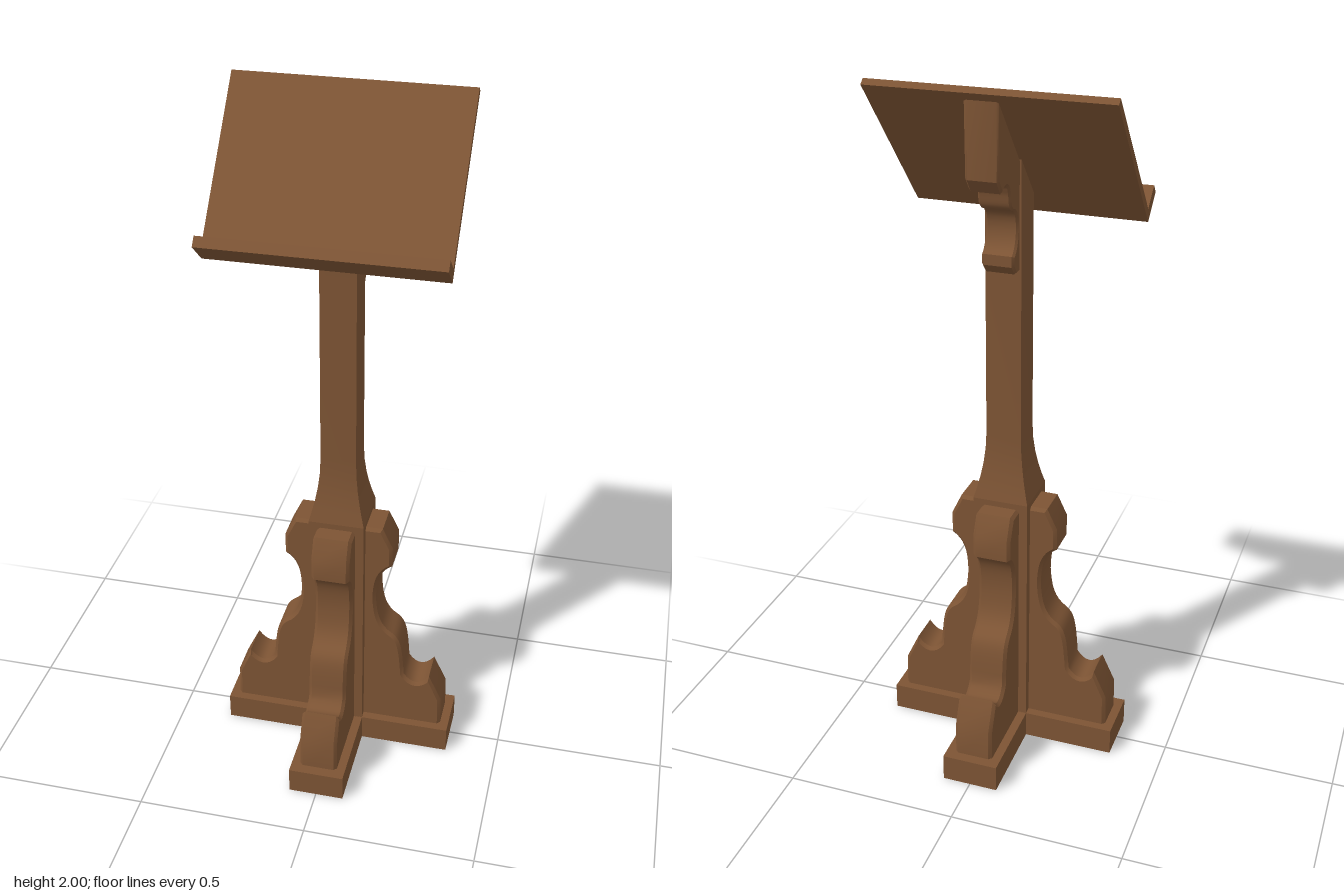
import * as THREE from 'three';
import { toCreasedNormals } from 'three/addons/utils/BufferGeometryUtils.js';

const wood = new THREE.MeshStandardMaterial({ color: 0x7d5434 });
wood.name = 'brown wood';

function part(name, geometry, parent) {
  const mesh = new THREE.Mesh(geometry, wood);
  mesh.name = name;
  parent.add(mesh);
  return mesh;
}

// Extrudes a profile to a total width centred on z = 0, with optional chamfered edges
function board(shape, width, bevel = 0) {
  const g = new THREE.ExtrudeGeometry(shape, {
    depth: width - 2 * bevel, curveSegments: 8,
    bevelEnabled: bevel > 0, bevelSegments: 1,
    bevelSize: bevel, bevelThickness: bevel, bevelOffset: -bevel,
  });
  g.translate(0, 0, bevel - width / 2);
  return toCreasedNormals(g, 0.6);
}

// Carved leg bracket: toe, ogee, scooped waist and angular shoulder
function legShape() {
  const s = new THREE.Shape();
  s.moveTo(0.04, 0.07);
  s.lineTo(0.322, 0.07);
  s.lineTo(0.32, 0.175);
  s.lineTo(0.281, 0.258);
  s.quadraticCurveTo(0.24, 0.2, 0.203, 0.255);
  s.bezierCurveTo(0.195, 0.36, 0.19, 0.385, 0.165, 0.405);
  s.bezierCurveTo(0.125, 0.43, 0.117, 0.47, 0.113, 0.53);
  s.bezierCurveTo(0.113, 0.6, 0.125, 0.635, 0.16, 0.655);
  s.lineTo(0.16, 0.72);
  s.lineTo(0.13, 0.783);
  s.lineTo(0.04, 0.783);
  return s;
}

// Carved support behind the desk; profile x runs toward the back
function supportShape() {
  const s = new THREE.Shape();
  s.moveTo(0.03, 1.485);
  s.lineTo(0.074, 1.485);
  s.lineTo(0.095, 1.51);
  s.lineTo(0.095, 1.54);
  s.bezierCurveTo(0.055, 1.56, 0.05, 1.64, 0.085, 1.66);
  s.bezierCurveTo(0.125, 1.67, 0.115, 1.69, 0.125, 1.72);
  s.bezierCurveTo(0.135, 1.75, 0.165, 1.75, 0.182, 1.732);
  s.lineTo(0.209, 1.768);
  s.lineTo(0.209, 1.972);
  s.lineTo(0.03, 1.769);
  return s;
}

export function createModel() {
  const group = new THREE.Group();

  // Crossed base
  const base = new THREE.Group();
  base.name = 'crossBase';
  group.add(base);
  const footX = part('footAcross', new THREE.BoxGeometry(0.694, 0.08, 0.163), base);
  footX.position.y = 0.0405;
  const footZ = part('footAlong', new THREE.BoxGeometry(0.163, 0.08, 0.704), base);
  footZ.position.y = 0.04;

  // Four carved legs
  const leg = board(legShape(), 0.112, 0.009);
  for (let i = 0; i < 4; i++) part('leg' + (i + 1), leg, group).rotation.y = i * Math.PI / 2;

  // Square post with a flared foot, its top cut to the slope of the desk
  const profile = [
    [0.081, 0.04], [0.081, 0.8], [0.073, 0.83], [0.065, 0.865],
    [0.058, 0.905], [0.053, 0.95], [0.051, 1.0], [0.05, 1.6],
  ].map(([r, y]) => new THREE.Vector2(r * Math.SQRT2, y));
  const post = new THREE.LatheGeometry(profile, 4, Math.PI / 4);
  const p = post.attributes.position;
  for (let i = 0; i < p.count; i++) {
    if (p.getY(i) > 1.5) p.setY(i, 1.612 + (0.11 - p.getZ(i)) * 1.134);
  }
  part('post', toCreasedNormals(post, 0.22), group);

  // Sloping desk and its book ledge, as one L-shaped section
  const desk = new THREE.Shape([
    [-0.105, 1.642], [-0.16, 1.69], [-0.18, 1.667], [-0.11, 1.605],
    [0.227, 1.987], [0.212, 2.0],
  ].map(([x, y]) => new THREE.Vector2(x, y)));
  const deskMesh = part('deskWithLedge', board(desk, 0.654), group);
  deskMesh.rotation.y = Math.PI / 2;
  deskMesh.position.x = -0.02;

  // Support bracket under the desk
  part('deskSupport', board(supportShape(), 0.09, 0.006), group).rotation.y = Math.PI / 2;

  return group;
}
